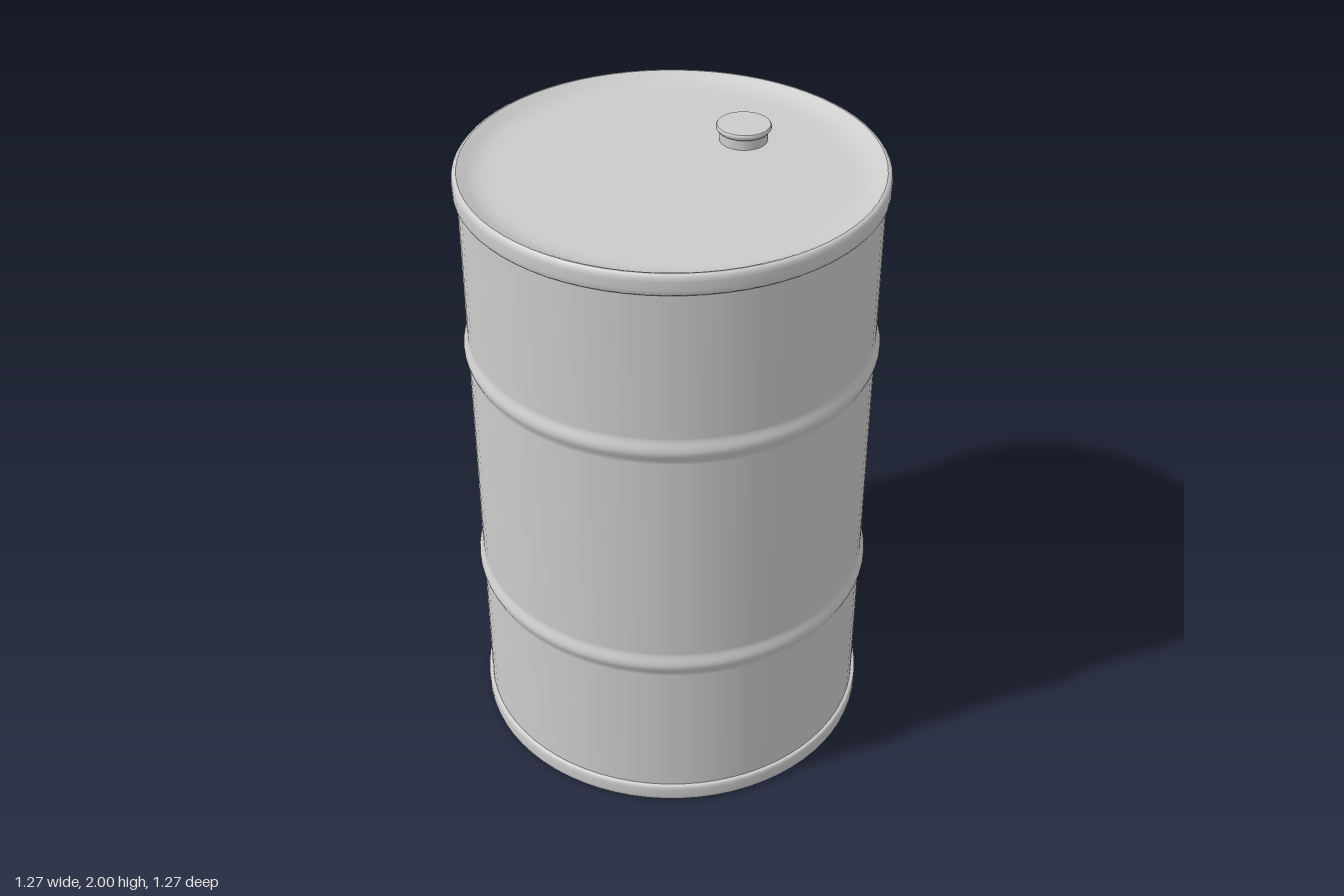
import * as THREE from 'three';

const material = new THREE.MeshStandardMaterial({ color: 0xcccccc, side: THREE.DoubleSide });
const SEGMENTS = 72;
const BODY_R = 0.624;
const HALF = 0.9875; // half the drum height, without the plug

// Smooth solid of revolution from [radius, y] pairs, listed bottom to top on the outside
function lathe(name, profile, segments = SEGMENTS) {
  const points = profile.map(([r, y]) => new THREE.Vector2(r, y));
  const mesh = new THREE.Mesh(new THREE.LatheGeometry(points, segments), material);
  mesh.name = name;
  return mesh;
}

// Same profile upside down, in an order that keeps the faces outward
function flip(profile) {
  return profile.map(([r, y]) => [r, 2 * HALF - y]).reverse();
}

export function createModel() {
  const drum = new THREE.Group();
  drum.name = 'drum';

  // Wall with two rounded rolling hoops
  const wall = [[BODY_R, 0.05]];
  for (const y of [0.585, 1.395]) {
    for (let i = 0; i <= 12; i++) {
      const t = i / 12;
      wall.push([BODY_R + 0.013 * Math.sin(Math.PI * t) ** 2, y + (t - 0.5) * 0.09]);
    }
  }
  wall.push([BODY_R, 1.925]);
  drum.add(lathe('wall', wall));

  // Rolled rims at both ends
  const rim = [
    [BODY_R - 0.004, 1.912], [0.632, 1.912], [0.636, 1.918], [0.637, 1.93],
    [0.637, 1.955], [0.635, 1.967], [0.629, 1.974], [0.622, 1.975],
  ];
  drum.add(lathe('topRim', rim), lathe('bottomRim', flip(rim)));

  // End plates, dished slightly below the rims
  const plate = [
    [0.622, 1.975], [0.612, 1.971], [0.595, 1.962], [0.575, 1.954],
    [0.55, 1.949], [0.52, 1.947], [0.48, 1.947], [0, 1.947],
  ];
  drum.add(lathe('lid', plate), lathe('base', flip(plate)));

  // Filler plug: narrow neck under a wider cap
  const plug = new THREE.Group();
  plug.name = 'plug';
  plug.position.x = 0.292;
  plug.add(
    lathe('plugNeck', [[0.072, 1.94], [0.072, 1.98]], 40),
    lathe('plugCap', [[0.071, 1.977], [0.078, 1.981], [0.083, 1.988], [0.083, 1.995], [0.08, 1.999]], 40),
    lathe('plugTop', [[0.08, 1.999], [0.074, 2], [0, 2]], 40),
  );
  drum.add(plug);

  return drum;
}
